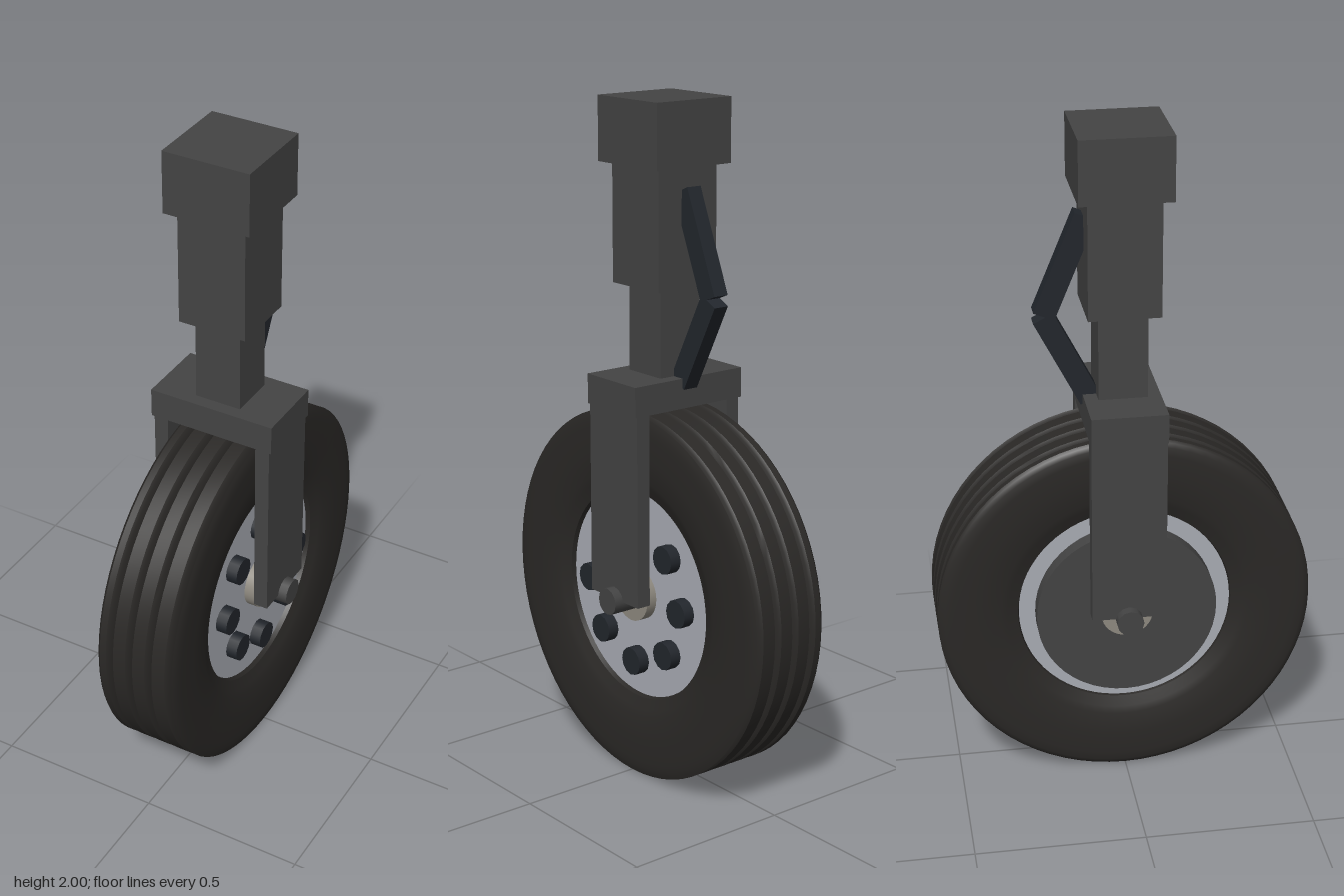
import * as THREE from 'three';
import { toCreasedNormals } from 'three/addons/utils/BufferGeometryUtils.js';

const AXLE_Y = 0.557;

const paint = (color) => new THREE.MeshStandardMaterial({ color });
const steel = paint(0x444444);
const rubber = paint(0x2a2826);
const silver = paint(0xa9acb4);
const brass = paint(0x8f8a80);
const dark = paint(0x22262c);

function add(parent, name, geometry, material, x = 0, y = 0, z = 0) {
  const mesh = new THREE.Mesh(geometry, material);
  mesh.name = name;
  mesh.position.set(x, y, z);
  parent.add(mesh);
  return mesh;
}

// Box given by its size and the height range it spans
function block(parent, name, w, y0, y1, d, x = 0) {
  return add(parent, name, new THREE.BoxGeometry(w, y1 - y0, d), steel, x, (y0 + y1) / 2, 0);
}

// Cylinder lying along x, from x0 to x1
function drum(parent, name, r, x0, x1, material, sides = 48, y = 0, z = 0) {
  const g = new THREE.CylinderGeometry(r, r, x1 - x0, sides).rotateZ(-Math.PI / 2);
  return add(parent, name, g, material, (x0 + x1) / 2, y, z);
}

// Solid of revolution about x; profile entries are [radius, x]
function revolve(parent, name, profile, material) {
  const points = profile.map(([r, x]) => new THREE.Vector2(r, x));
  const g = toCreasedNormals(new THREE.LatheGeometry(points, 72).rotateZ(-Math.PI / 2), 0.6);
  return add(parent, name, g, material);
}

// Flat bar between two points of the y-z plane
function link(parent, name, [y0, z0], [y1, z1]) {
  const length = Math.hypot(y1 - y0, z1 - z0);
  const mesh = add(parent, name, new THREE.BoxGeometry(0.048, length, 0.064), dark,
    -0.002, (y0 + y1) / 2, (z0 + z1) / 2);
  mesh.rotation.x = Math.atan2(z1 - z0, y1 - y0);
  return mesh;
}

export function createModel() {
  const model = new THREE.Group();
  model.name = 'landingGear';

  // Telescopic strut
  const strut = new THREE.Group();
  strut.name = 'strut';
  model.add(strut);
  block(strut, 'topMount', 0.264, 1.815, 2, 0.264);
  block(strut, 'outerCylinder', 0.208, 1.47, 1.815, 0.208);
  block(strut, 'piston', 0.142, 1.21, 1.47, 0.142);

  // Fork around the wheel
  const fork = new THREE.Group();
  fork.name = 'fork';
  model.add(fork);
  block(fork, 'forkCrown', 0.39, 1.127, 1.215, 0.22, -0.002);
  for (const side of [-1, 1]) {
    block(fork, side > 0 ? 'leftForkLeg' : 'rightForkLeg', 0.044, 0.56, 1.13, 0.218, side * 0.165 - 0.001);
  }

  // Scissor links behind the strut
  const links = new THREE.Group();
  links.name = 'torqueLinks';
  model.add(links);
  link(links, 'upperTorqueLink', [1.46, -0.217], [1.749, -0.098]);
  link(links, 'lowerTorqueLink', [1.198, -0.087], [1.455, -0.219]);

  // Wheel, built around its own axis
  const wheel = new THREE.Group();
  wheel.name = 'wheel';
  wheel.position.y = AXLE_Y;
  model.add(wheel);

  // Tyre: bead, sidewall, rounded shoulder, grooved tread
  const tyre = [[0.312, -0.085], [0.318, -0.106], [0.35, -0.118], [0.37, -0.125],
    [0.44, -0.13], [0.51, -0.131], [0.535, -0.128], [0.548, -0.123], [0.554, -0.115]];
  for (const x of [-0.08, -0.016, 0.048, 0.114]) {
    tyre.push([0.554, x - 0.015], [0.546, x - 0.008], [0.522, x - 0.003],
      [0.522, x + 0.003], [0.546, x + 0.006], [0.554, x + 0.009]);
  }
  tyre.push([0.545, 0.126], [0.53, 0.129], [0.51, 0.13], [0.44, 0.13], [0.37, 0.125],
    [0.35, 0.118], [0.318, 0.106], [0.312, 0.085]);
  revolve(wheel, 'tyre', tyre, rubber);

  drum(wheel, 'rim', 0.315, -0.1, 0.092, silver, 64);
  drum(wheel, 'brakeDisc', 0.267, -0.146, -0.09, steel, 48);
  drum(wheel, 'hub', 0.077, -0.15, 0.125, brass, 32);
  drum(wheel, 'axle', 0.04, -0.216, 0.213, steel, 12);

  // Ring of wheel bolts on the open face
  const bolts = new THREE.Group();
  bolts.name = 'wheelBolts';
  wheel.add(bolts);
  for (let i = 0; i < 8; i++) {
    const a = (i / 8) * Math.PI * 2;
    drum(bolts, 'wheelBolt', 0.042, 0.08, 0.127, dark, 12, 0.207 * Math.cos(a), 0.207 * Math.sin(a));
  }
  return model;
}
